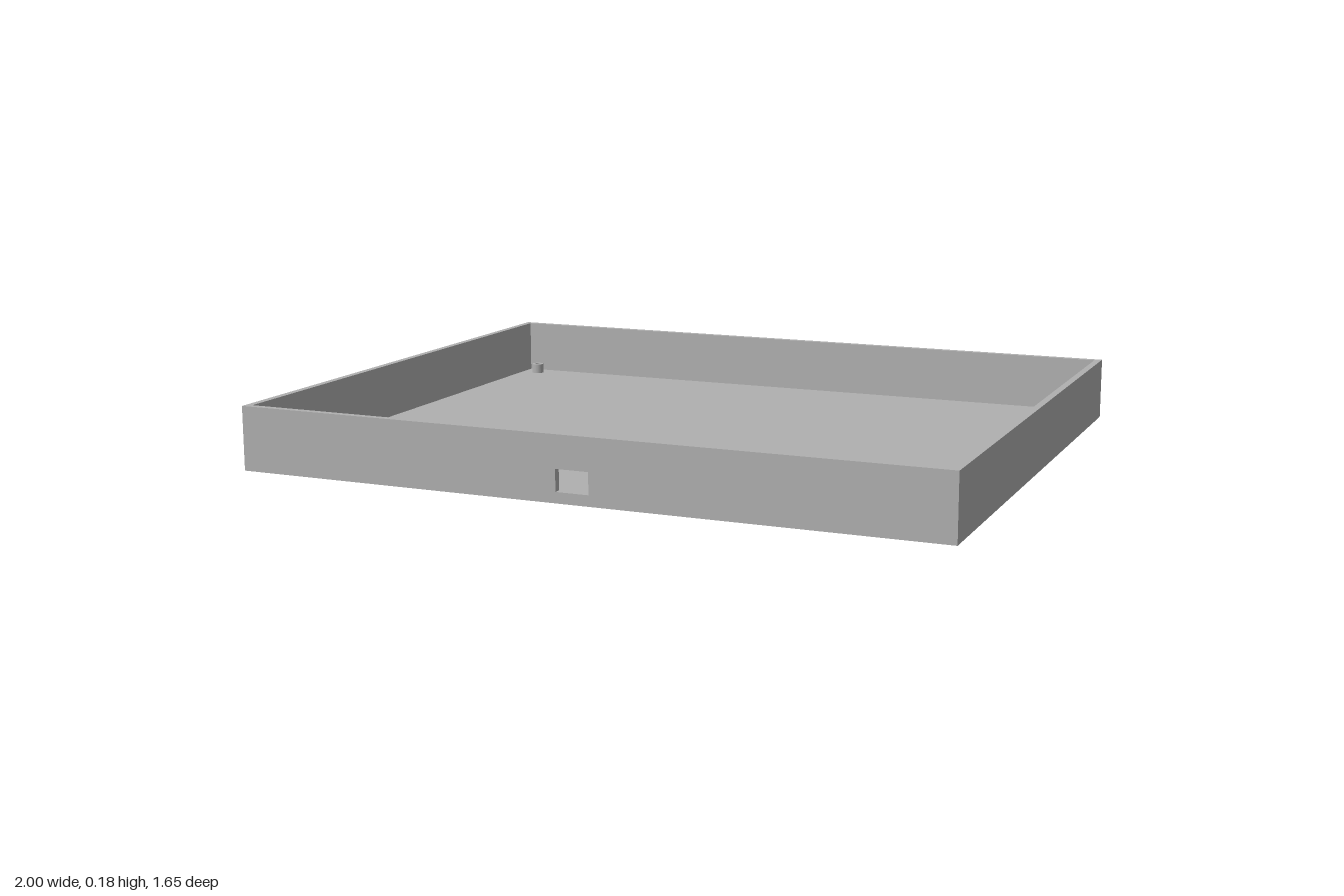
import * as THREE from 'three';
import { mergeGeometries } from 'three/addons/utils/BufferGeometryUtils.js';

const W = 1, D = 0.825, H = 0.18;   // half width, half depth, height
const T = 0.02;                     // wall and floor thickness
const SLOT = [-0.05, 0.03, 0.043, 0.09]; // x0, y0, x1, y1 of the front opening

function outline(Kind, x0, y0, x1, y1) {
  const p = new Kind();
  p.moveTo(x0, y0).lineTo(x1, y0).lineTo(x1, y1).lineTo(x0, y1).closePath();
  return p;
}

// Flat rectangular face in the xy plane, facing +z, with an optional opening
function face(rect, hole) {
  const s = outline(THREE.Shape, ...rect);
  if (hole) s.holes.push(outline(THREE.Path, ...hole));
  return new THREE.ShapeGeometry(s);
}

export function createModel() {
  const group = new THREE.Group();
  const grey = new THREE.MeshStandardMaterial({ color: 0xb0b0b0 });
  grey.name = 'plain grey';

  const add = (name, geometry) => {
    const mesh = new THREE.Mesh(geometry, grey);
    mesh.name = name;
    group.add(mesh);
    return mesh;
  };

  const w = W - T, d = D - T;

  // Underside, inner floor and rim
  add('underside', face([-W, -D, W, D]).rotateX(Math.PI / 2));
  add('floor', face([-w, -d, w, d]).rotateX(-Math.PI / 2).translate(0, T, 0));
  add('rim', face([-W, -D, W, D], [-w, -d, w, d]).rotateX(-Math.PI / 2).translate(0, H, 0));

  // Four walls, each with an outer and an inner face
  const names = ['frontWall', 'leftWall', 'backWall', 'rightWall'];
  names.forEach((name, i) => {
    const side = i % 2 === 1;
    const [span, reach] = side ? [D, W] : [W, D];
    const slot = i === 0 ? SLOT : null;
    const mirrored = slot && [-slot[2], slot[1], -slot[0], slot[3]];
    const outer = face([-span, 0, span, H], slot).translate(0, 0, reach);
    const inner = face([T - span, T, span - T, H], mirrored)
      .rotateY(Math.PI).translate(0, 0, reach - T);
    add(name, mergeGeometries([outer, inner])).rotation.y = i * Math.PI / 2;
  });

  // Lining of the opening through the front wall
  const [x0, y0, x1, y1] = SLOT;
  const sw = x1 - x0, sh = y1 - y0, cx = (x0 + x1) / 2, cy = (y0 + y1) / 2, cz = D - T / 2;
  add('slotLining', mergeGeometries([
    new THREE.PlaneGeometry(sw, T).rotateX(-Math.PI / 2).translate(cx, y0, cz),
    new THREE.PlaneGeometry(sw, T).rotateX(Math.PI / 2).translate(cx, y1, cz),
    new THREE.PlaneGeometry(T, sh).rotateY(Math.PI / 2).translate(x0, cy, cz),
    new THREE.PlaneGeometry(T, sh).rotateY(-Math.PI / 2).translate(x1, cy, cz),
  ]));

  // Hollow mounting posts in the corners
  const ring = new THREE.Shape().absarc(0, 0, 0.019, 0, Math.PI * 2);
  ring.holes.push(new THREE.Path().absarc(0, 0, 0.009, 0, Math.PI * 2, true));
  const postGeometry = new THREE.ExtrudeGeometry(ring, {
    depth: 0.03, bevelEnabled: false, curveSegments: 24,
  }).rotateX(-Math.PI / 2);
  for (const x of [-0.925, 0.925]) {
    for (const z of [-0.75, 0.75]) {
      add('mountingPost', postGeometry).position.set(x, T, z);
    }
  }

  return group;
}
